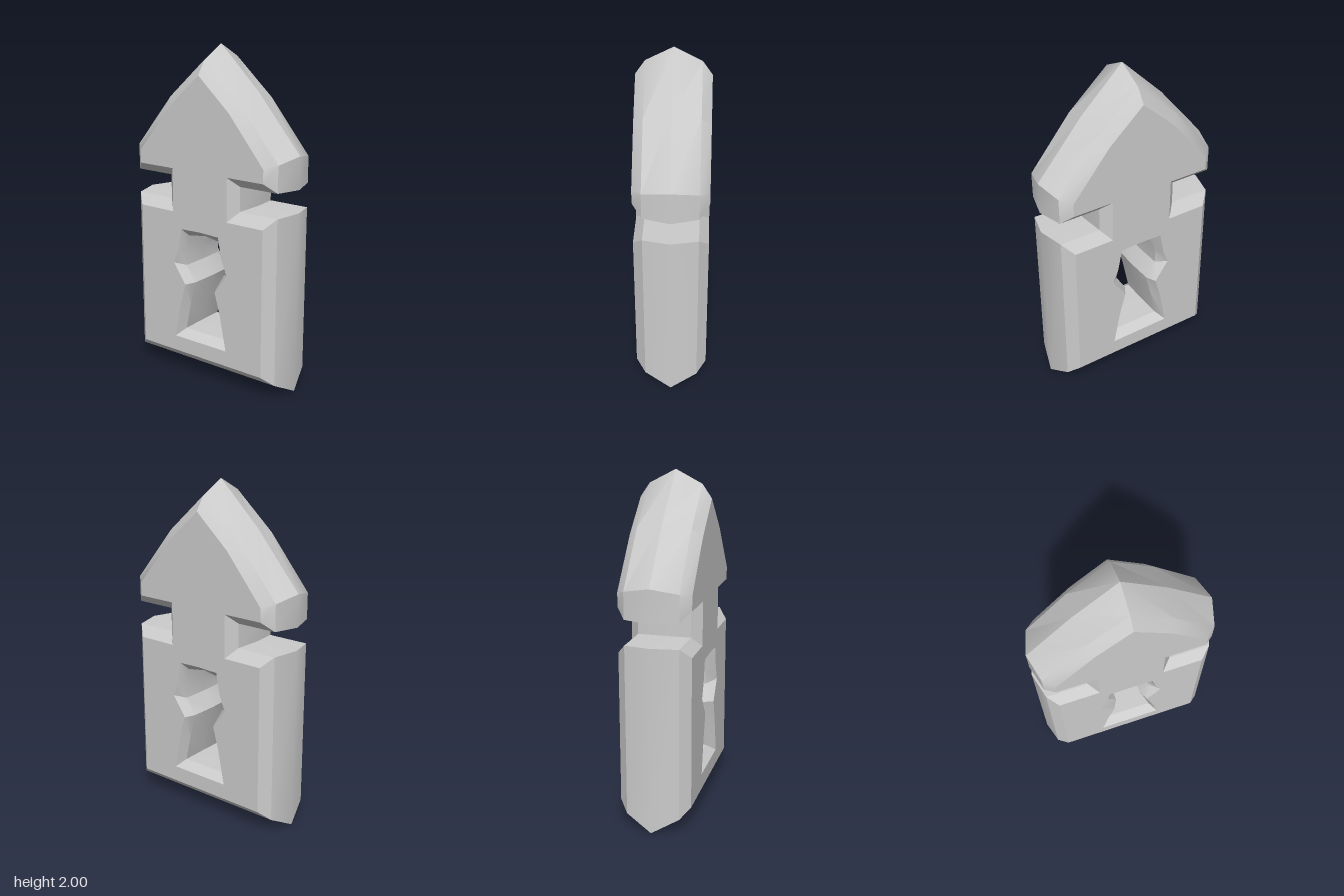
import * as THREE from 'three';
import { toCreasedNormals } from 'three/addons/utils/BufferGeometryUtils.js';

// Right halves of each contour, listed from the top down: middle, bevel start, flat face
const OUTER = {
  middle: [[0, 2], [0.26, 1.75], [0.54, 1.42], [0.54, 1.23], [0.27, 1.23], [0.27, 1.095], [0.54, 1.095], [0.54, 0]],
  bevel: [[0, 1.92], [0.245, 1.7], [0.5, 1.39], [0.5, 1.235], [0.25, 1.235], [0.25, 1.09], [0.5, 1.09], [0.5, 0.085]],
  face: [[0, 1.84], [0.21, 1.65], [0.44, 1.37], [0.44, 1.29], [0.195, 1.29], [0.195, 1.03], [0.44, 1.03], [0.44, 0.14]],
};
const KEYHOLE = {
  middle: [[0, 0.895], [0.115, 0.875], [0.135, 0.78], [0.135, 0.69], [0.075, 0.59], [0.11, 0.45], [0.145, 0.28]],
  bevel: [[0, 0.9], [0.12, 0.88], [0.137, 0.78], [0.14, 0.69], [0.08, 0.59], [0.112, 0.45], [0.148, 0.277]],
  face: [[0, 0.935], [0.135, 0.93], [0.16, 0.8], [0.195, 0.71], [0.11, 0.588], [0.148, 0.45], [0.19, 0.235]],
};
const LEVELS = [['face', 0.21], ['bevel', 0.155], ['middle', 0], ['bevel', -0.155], ['face', -0.21]];

// Closed clockwise contour from its right half
function mirrored(half) {
  const left = half.filter(([x]) => x > 0).map(([x, y]) => [-x, y]).reverse();
  return [...half, ...left];
}

function rings(contours) {
  return LEVELS.map(([key, z]) => mirrored(contours[key]).map(([x, y]) => new THREE.Vector3(x, y, z)));
}

// Walls between successive rings
function addWalls(out, levels, inward) {
  for (let k = 0; k < levels.length - 1; k++) {
    const a = levels[k], b = levels[k + 1], n = a.length;
    for (let i = 0; i < n; i++) {
      const j = (i + 1) % n;
      const tris = [[a[i], a[j], b[i]], [a[j], b[j], b[i]]];
      for (const [p, q, r] of tris) out.push(...(inward ? [p, r, q] : [p, q, r]));
    }
  }
}

// Flat face with the keyhole left open
function addFace(out, outer, hole, facing) {
  const points = [...outer, ...hole];
  const flat = (ring) => ring.map((p) => new THREE.Vector2(p.x, p.y));
  for (const tri of THREE.ShapeUtils.triangulateShape(flat(outer), [flat(hole)])) {
    const [p, q, r] = tri.map((i) => points[i]);
    const area = (q.x - p.x) * (r.y - p.y) - (q.y - p.y) * (r.x - p.x);
    out.push(...(area * facing > 0 ? [p, q, r] : [p, r, q]));
  }
}

export function createModel() {
  const group = new THREE.Group();
  group.name = 'keyholePlaque';
  const material = new THREE.MeshStandardMaterial({ color: 0xcccccc });

  const addPart = (name, points) => {
    const geometry = new THREE.BufferGeometry().setFromPoints(points);
    const mesh = new THREE.Mesh(toCreasedNormals(geometry, THREE.MathUtils.degToRad(30)), material);
    mesh.name = name;
    group.add(mesh);
  };

  const outer = rings(OUTER), hole = rings(KEYHOLE);
  const last = LEVELS.length - 1;

  // Bevelled body with the arrow head, notched neck and both faces
  const body = [];
  addWalls(body, outer, false);
  addFace(body, outer[0], hole[0], 1);
  addFace(body, outer[last], hole[last], -1);
  addPart('body', body);

  // Inside of the keyhole
  const walls = [];
  addWalls(walls, hole, true);
  addPart('keyholeWalls', walls);

  return group;
}
